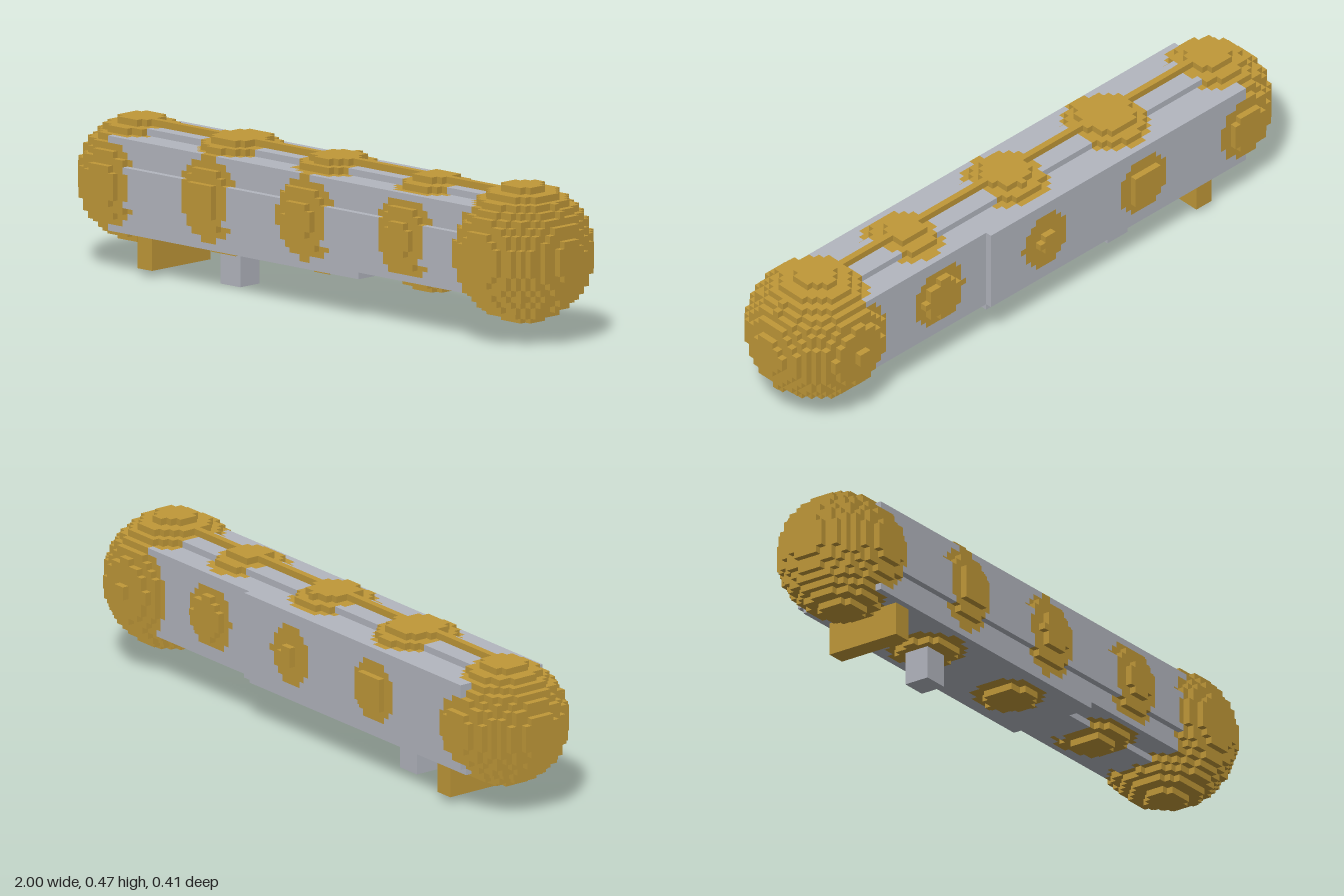
import * as THREE from 'three';

const H = 2 / 97;                 // edge of one cube
const NX = 97, NY = 24, NZ = 24;  // grid size; z is centred on cell edge 12

// Solids, tested at a cube's centre (x from 0 to 97, y from 0, z around 0)
const box = (x0, x1, y0, y1, z0, z1) => (x, y, z) =>
  x > x0 && x < x1 && y > y0 && y < y1 && z > z0 && z < z1;
const ball = (cx, cy, cz, r) => (x, y, z) =>
  (x - cx) ** 2 + (y - cy) ** 2 + (z - cz) ** 2 < r * r;
const union = (...tests) => (x, y, z) => tests.some(t => t(x, y, z));

// The six sides of a cube: outward normal and two edge directions
const SIDES = [];
for (let a = 0; a < 3; a++) for (const s of [1, -1]) {
  const n = [0, 0, 0], u = [0, 0, 0], v = [0, 0, 0];
  n[a] = s;
  u[(a + 1) % 3] = 1;
  v[(a + 2) % 3] = s;
  SIDES.push({ n, u, v });
}

export function createModel() {
  const gold = new THREE.MeshStandardMaterial({ color: 0xc09838 });
  gold.name = 'gold';
  const grey = new THREE.MeshStandardMaterial({ color: 0xb3b6bf });
  grey.name = 'silver grey';

  // Later parts replace earlier ones where they overlap
  const parts = [
    { name: 'barrel', mat: grey, test: union(
      box(9, 60, 7, 20, -8, 7),       // rear part, one step wider at the back
      box(9, 60, 6, 20, -7, 7),
      box(60, 87, 7, 20, -7, 7),      // front part
      box(9, 87, 10, 16, -7, 8),      // raised side strip
      box(9, 87, 6, 21, -3, 3)) },    // raised top and bottom strips
    { name: 'supportPeg', mat: grey, test: box(27, 31, 0, 6, -2, 2) },
    { name: 'crossFoot', mat: gold, test: box(14, 17, 1, 6, -6, 6) },
    { name: 'topRidge', mat: gold, test: box(9, 87, 21, 22, 0, 1) },
    { name: 'rearBall', mat: gold, test: ball(9, 13, 0, 9) },
    { name: 'rearBead', mat: gold, test: ball(29.5, 13.5, 0, 9) },
    { name: 'middleBead', mat: gold, test: ball(49.2, 13.5, 0.15, 8.8) },
    { name: 'frontBead', mat: gold, test: ball(69.4, 13.5, 0.4, 8.5) },
    { name: 'frontBall', mat: gold, test: ball(87, 13, 0.35, 9.95) },
  ];

  // Fill the grid with the number of the part that owns each cube
  const owner = new Int8Array(NX * NY * NZ).fill(-1);
  const at = (i, j, k) => (i * NY + j) * NZ + k;
  const eachCell = fn => {
    for (let i = 0; i < NX; i++)
      for (let j = 0; j < NY; j++)
        for (let k = 0; k < NZ; k++) fn(i, j, k);
  };
  eachCell((i, j, k) => parts.forEach((p, n) => {
    if (p.test(i + 0.5, j + 0.5, k + 0.5 - NZ / 2)) owner[at(i, j, k)] = n;
  }));
  const isEmpty = (i, j, k) => i < 0 || j < 0 || k < 0 ||
    i >= NX || j >= NY || k >= NZ || owner[at(i, j, k)] < 0;

  // Collect the exposed cube sides of every part
  const data = parts.map(() => ({ pos: [], nor: [], idx: [] }));
  eachCell((i, j, k) => {
    const n = owner[at(i, j, k)];
    if (n < 0) return;
    const d = data[n];
    const c = [i + 0.5 - NX / 2, j + 0.5, k + 0.5 - NZ / 2];
    for (const f of SIDES) {
      if (!isEmpty(i + f.n[0], j + f.n[1], k + f.n[2])) continue;
      const b = d.pos.length / 3;
      for (const [p, q] of [[-1, -1], [1, -1], [1, 1], [-1, 1]]) {
        for (let a = 0; a < 3; a++)
          d.pos.push((c[a] + (f.n[a] + p * f.u[a] + q * f.v[a]) / 2) * H);
        d.nor.push(...f.n);
      }
      d.idx.push(b, b + 1, b + 2, b, b + 2, b + 3);
    }
  });

  const model = new THREE.Group();
  model.name = 'beadedTube';
  parts.forEach((p, n) => {
    const g = new THREE.BufferGeometry();
    g.setAttribute('position', new THREE.Float32BufferAttribute(data[n].pos, 3));
    g.setAttribute('normal', new THREE.Float32BufferAttribute(data[n].nor, 3));
    g.setIndex(data[n].idx);
    const mesh = new THREE.Mesh(g, p.mat);
    mesh.name = p.name;
    model.add(mesh);
  });
  return model;
}
